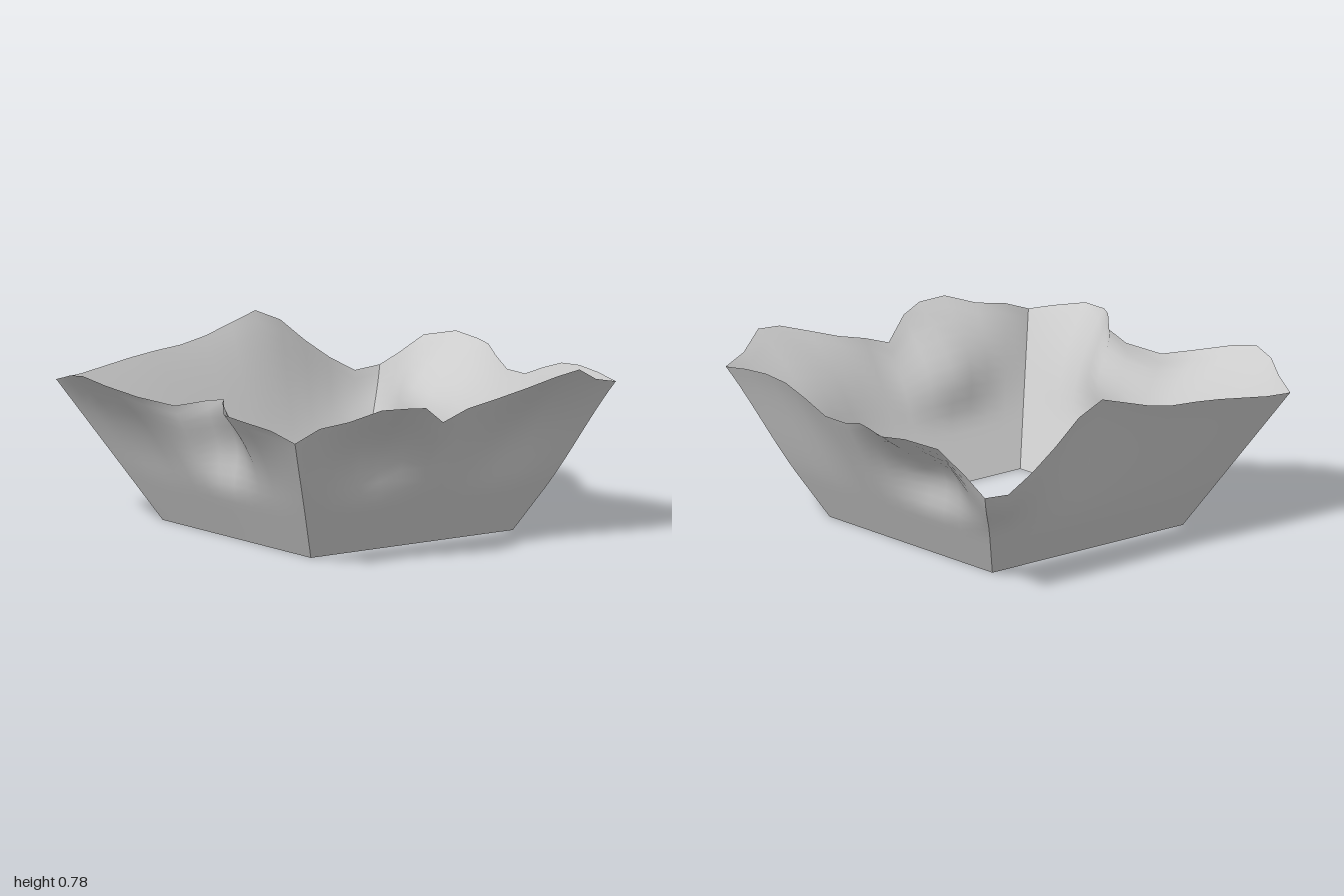
import * as THREE from 'three';

const SEG = 13, ROWS = 16, BASE_H = 0.6;
const lerp = THREE.MathUtils.lerp;

// Corners of the square opening and of the flared rim, as [x, z]
const floor = { fl: [0.55, 0.48], bl: [0.55, -0.59], br: [-0.52, -0.59], fr: [-0.52, 0.48] };
const rim = { fl: [0.865, 0.795], bl: [0.865, -0.91], br: [-0.85, -0.91], fr: [-0.835, 0.795] };

// Each wall runs from one corner to the next:
// flare = extra outward reach of the rim, height = rim height,
// dents = [position along the rim 0..1, depth, spread]
const walls = [
  {
    name: 'frontWall', from: 'fr', to: 'fl', normal: [0, 1],
    flare: [0, 0, 0.035, 0.093, 0.105, 0.055, 0, 0, 0.025, 0.07, 0.105, 0.093, 0.035, 0],
    height: [0.58, 0.63, 0.65, 0.695, 0.69, 0.67, 0.585, 0.63, 0.66, 0.70, 0.74, 0.755, 0.69, 0.66],
    dents: [[0.3, 0.07, 0.13], [0.79, 0.04, 0.12]],
  },
  {
    name: 'leftWall', from: 'fl', to: 'bl', normal: [1, 0],
    flare: [0, 0, 0, 0, 0, 0, 0, 0.035, 0.095, 0.133, 0.115, 0.04, 0, 0],
    height: [0.66, 0.68, 0.69, 0.68, 0.64, 0.592, 0.592, 0.63, 0.65, 0.65, 0.665, 0.636, 0.54, 0.47],
    dents: [[0.73, 0.08, 0.14]],
  },
  {
    name: 'backWall', from: 'bl', to: 'br', normal: [0, -1],
    flare: new Array(14).fill(0),
    height: [0.47, 0.46, 0.53, 0.62, 0.725, 0.78, 0.74, 0.70, 0.675, 0.665, 0.65, 0.63, 0.61, 0.60],
    dents: [],
  },
  {
    name: 'rightWall', from: 'br', to: 'fr', normal: [-1, 0],
    flare: [0, 0.05, 0.12, 0.15, 0.125, 0.055, -0.045, -0.13, -0.112, -0.005, 0.085, 0.093, 0.03, 0],
    height: [0.60, 0.635, 0.67, 0.69, 0.665, 0.63, 0.60, 0.635, 0.66, 0.68, 0.655, 0.65, 0.62, 0.58],
    dents: [[0.6, 0.075, 0.12]],
  },
];

// A sloping sheet whose upper part follows the wavy rim
function wallGeometry({ from, to, normal, flare, height, dents }) {
  const geo = new THREE.PlaneGeometry(1, 1, SEG, ROWS);
  const pos = geo.attributes.position;
  for (let k = 0; k < pos.count; k++) {
    const i = k % (SEG + 1);
    const t = 1 - Math.floor(k / (SEG + 1)) / ROWS;
    const u = i / SEG;
    const [x, z] = [0, 1].map((c) =>
      lerp(lerp(floor[from][c], floor[to][c], u), lerp(rim[from][c], rim[to][c], u), t));

    // Rim flare grows towards the top; dents press the middle inwards
    let out = flare[i] * Math.max(0, (t - 0.45) / 0.55) ** 2;
    const band = t > 0.35 ? Math.sin((Math.PI * (t - 0.35)) / 0.65) ** 2 : 0;
    const edgeFade = Math.min(1, u * 8, (1 - u) * 8);
    for (const [at, depth, spread] of dents) {
      out -= depth * band * edgeFade * Math.exp(-(((u - at) / spread) ** 2));
    }
    const y = BASE_H * t + (height[i] - BASE_H) * THREE.MathUtils.smoothstep(t, 0.3, 1);
    pos.setXYZ(k, x + normal[0] * out, y, z + normal[1] * out);
  }
  geo.computeVertexNormals();
  return geo;
}

export function createModel() {
  const model = new THREE.Group();
  model.name = 'wavyOpenBasket';
  const material = new THREE.MeshStandardMaterial({ color: 0xcccccc, side: THREE.DoubleSide });
  for (const wall of walls) {
    const mesh = new THREE.Mesh(wallGeometry(wall), material);
    mesh.name = wall.name;
    model.add(mesh);
  }
  return model;
}
